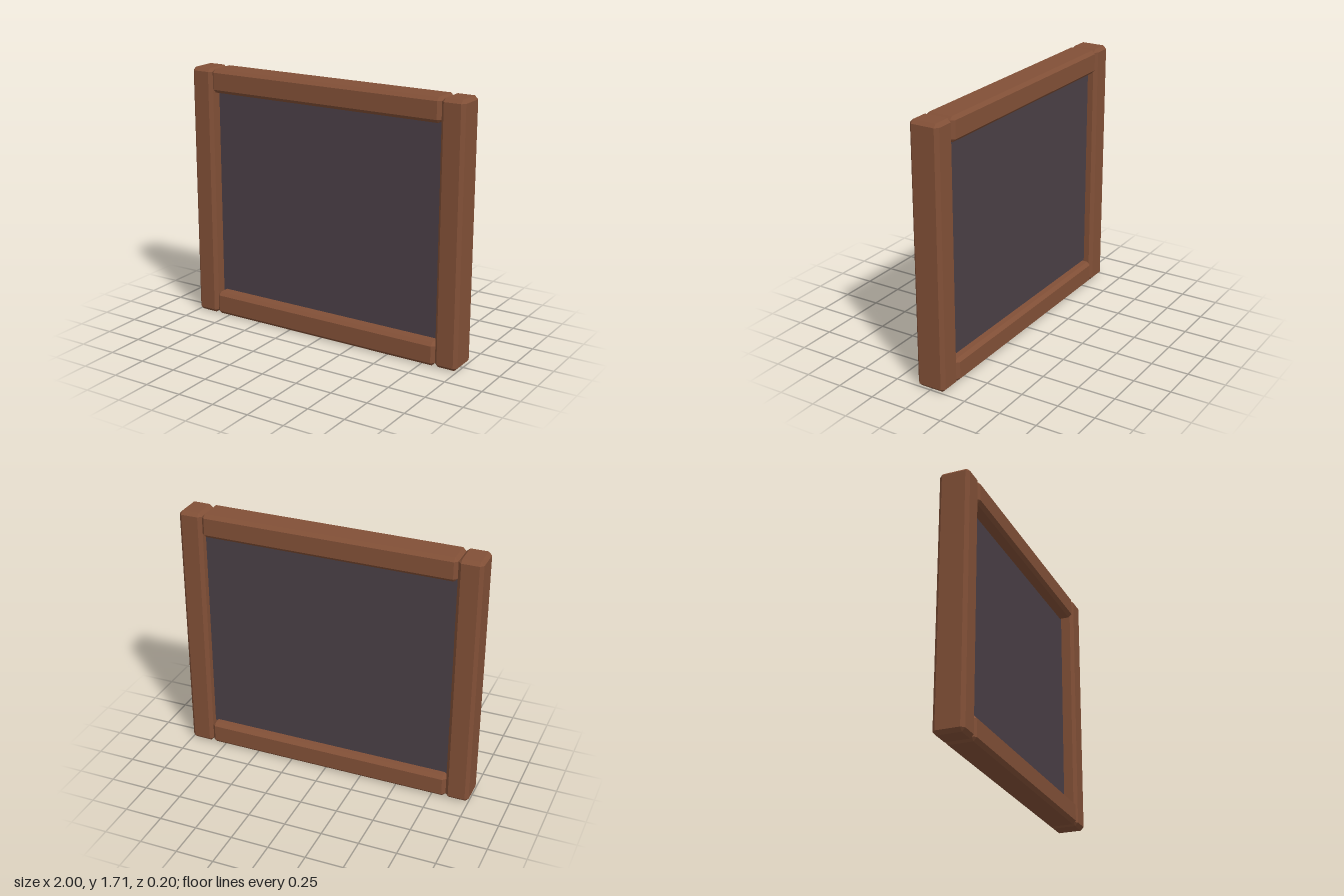
import * as THREE from 'three';
import { ConvexGeometry } from 'three/addons/geometries/ConvexGeometry.js';

const HEIGHT = 1.71, DEPTH = 0.2, BEAM = 0.157, BEVEL = 0.022;

// Box with every edge and corner chamfered
function chamferedBox(w, h, d, b) {
  const points = [];
  for (const x of [-1, 1]) for (const y of [-1, 1]) for (const z of [-1, 1]) {
    for (let axis = 0; axis < 3; axis++) {
      const inset = [b, b, b];
      inset[axis] = 0;
      points.push(new THREE.Vector3(
        x * (w / 2 - inset[0]), y * (h / 2 - inset[1]), z * (d / 2 - inset[2])));
    }
  }
  return new ConvexGeometry(points);
}

export function createModel() {
  const group = new THREE.Group();
  group.name = 'framedPanel';
  const wood = new THREE.MeshStandardMaterial({ color: 0x825037 });
  wood.name = 'brownWood';
  wood.flatShading = true;
  const dark = new THREE.MeshStandardMaterial({ color: 0x4a3f46 });
  dark.name = 'darkPanel';

  const add = (name, geometry, material, x, y, z = 0) => {
    const mesh = new THREE.Mesh(geometry, material);
    mesh.name = name;
    mesh.position.set(x, y, z);
    group.add(mesh);
  };

  // Upright posts at both sides
  const post = chamferedBox(BEAM, HEIGHT, DEPTH, BEVEL);
  add('leftPost', post, wood, 1 - BEAM / 2, HEIGHT / 2);
  add('rightPost', post, wood, -1 + BEAM / 2, HEIGHT / 2);

  // Rails between the posts
  const rail = chamferedBox(2 - 2 * BEAM, BEAM, DEPTH, BEVEL);
  add('bottomRail', rail, wood, 0, BEAM / 2);
  add('topRail', rail, wood, 0, HEIGHT - BEAM / 2);

  // Recessed panel, tucked slightly into the frame
  add('panel', new THREE.BoxGeometry(2 - 2 * BEAM + 0.02, HEIGHT - 2 * BEAM + 0.02, 0.05),
    dark, 0, HEIGHT / 2, -0.013);

  return group;
}
